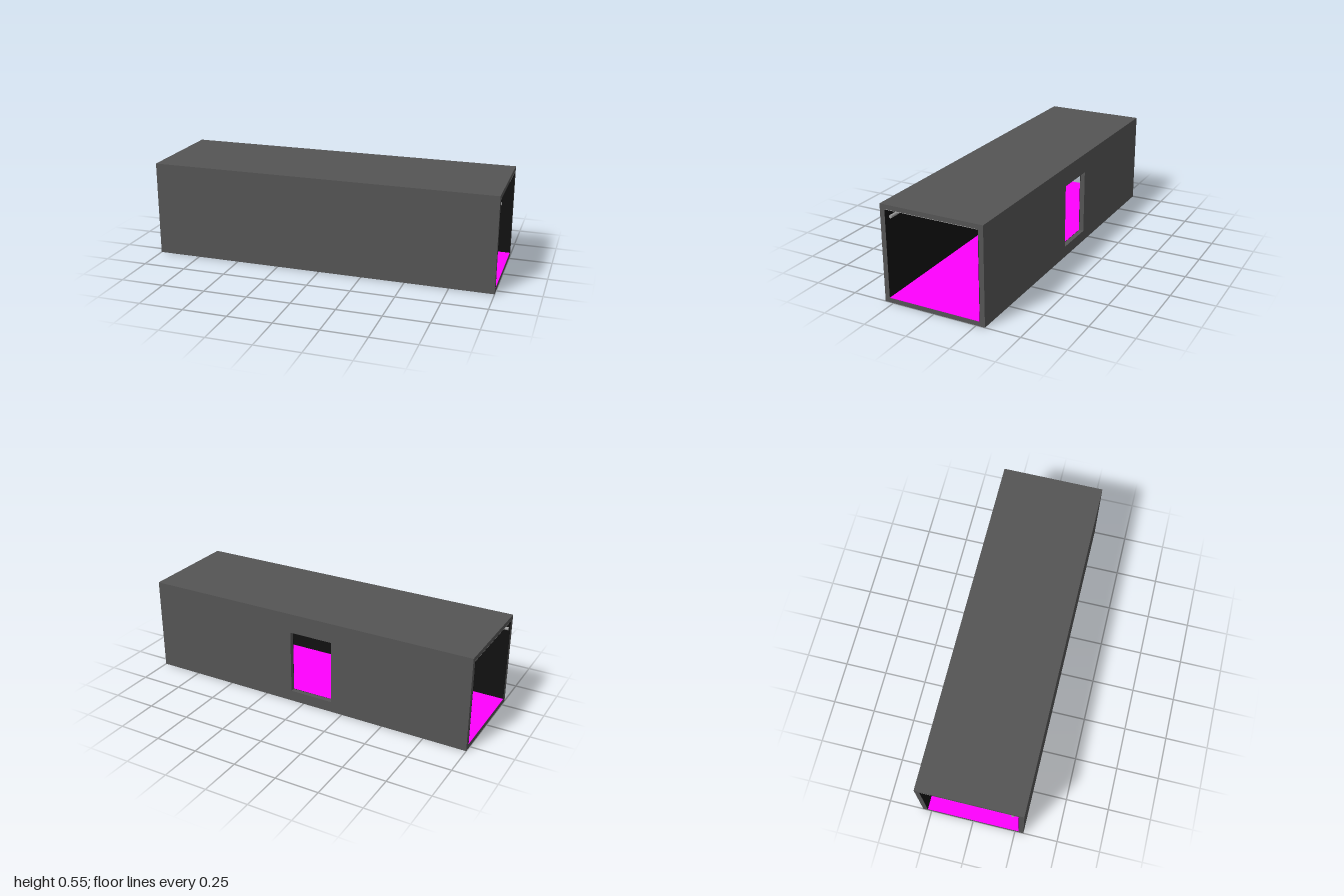
import * as THREE from 'three';

const L = 2, W = 0.6, H = 0.552;      // outer size
const T = 0.03, S = 0.028;            // wall and slab thickness
const LINING = 0.002;
const INNER_H = H - 2 * S;

const mat = (color) => new THREE.MeshStandardMaterial({ color });
const shellMat = mat(0x555555);
const wallMat = mat(0x111111);
const floorMat = mat(0xff00ff);
const ceilingMat = mat(0xbbbbbb);
const railMat = mat(0xa0a0a0);

function add(group, name, geometry, material, x, y, z) {
  const mesh = new THREE.Mesh(geometry, material);
  mesh.name = name;
  mesh.position.set(x, y, z);
  group.add(mesh);
  return mesh;
}

// Long wall pierced by one rectangular window
function windowWall(y0, y1, depth) {
  const shape = new THREE.Shape([
    new THREE.Vector2(-L / 2, y0), new THREE.Vector2(L / 2, y0),
    new THREE.Vector2(L / 2, y1), new THREE.Vector2(-L / 2, y1),
  ]);
  const [x0, x1, b, t] = [-0.18, 0.08, 0.064, 0.438];
  shape.holes.push(new THREE.Path([
    new THREE.Vector2(x0, b), new THREE.Vector2(x0, t),
    new THREE.Vector2(x1, t), new THREE.Vector2(x1, b),
  ]));
  return new THREE.ExtrudeGeometry(shape, { depth, bevelEnabled: false });
}

export function createModel() {
  const model = new THREE.Group();
  model.name = 'corridor';
  const box = (x, y, z) => new THREE.BoxGeometry(x, y, z);
  const innerW = W - 2 * T;

  // Outer shell, open at both ends
  add(model, 'floorSlab', box(L, S - LINING, W), shellMat, 0, (S - LINING) / 2, 0);
  add(model, 'roofSlab', box(L, S - LINING, W), shellMat, 0, H - (S - LINING) / 2, 0);
  const wallH = H - 2 * (S - LINING);
  add(model, 'frontWall', box(L, wallH, T - LINING), shellMat, 0, H / 2, W / 2 - (T - LINING) / 2);
  add(model, 'backWall', windowWall(S - LINING, H - S + LINING, T - LINING), shellMat, 0, 0, -W / 2);

  // Coloured linings on the inside faces
  add(model, 'floorLining', box(L, LINING, innerW), floorMat, 0, S - LINING / 2, 0);
  add(model, 'ceilingLining', box(L, LINING, innerW), ceilingMat, 0, H - S + LINING / 2, 0);
  add(model, 'frontLining', box(L, INNER_H, LINING), wallMat, 0, H / 2, innerW / 2 + LINING / 2);
  add(model, 'backLining', windowWall(S, H - S, LINING), wallMat, 0, 0, -innerW / 2 - LINING);

  // Rail hung from the ceiling along the front wall
  const rail = new THREE.Group();
  rail.name = 'ceilingRail';
  const railY = 0.491, railZ = 0.238, hangerH = H - S - railY;
  add(rail, 'bar', new THREE.CylinderGeometry(0.009, 0.009, L, 16), railMat, 0, railY, railZ)
    .rotation.z = Math.PI / 2;
  for (let i = -2; i <= 2; i++) {
    add(rail, 'hanger', new THREE.CylinderGeometry(0.0065, 0.0065, hangerH, 12), railMat,
      i * 0.45, railY + hangerH / 2, railZ);
  }
  model.add(rail);
  return model;
}
